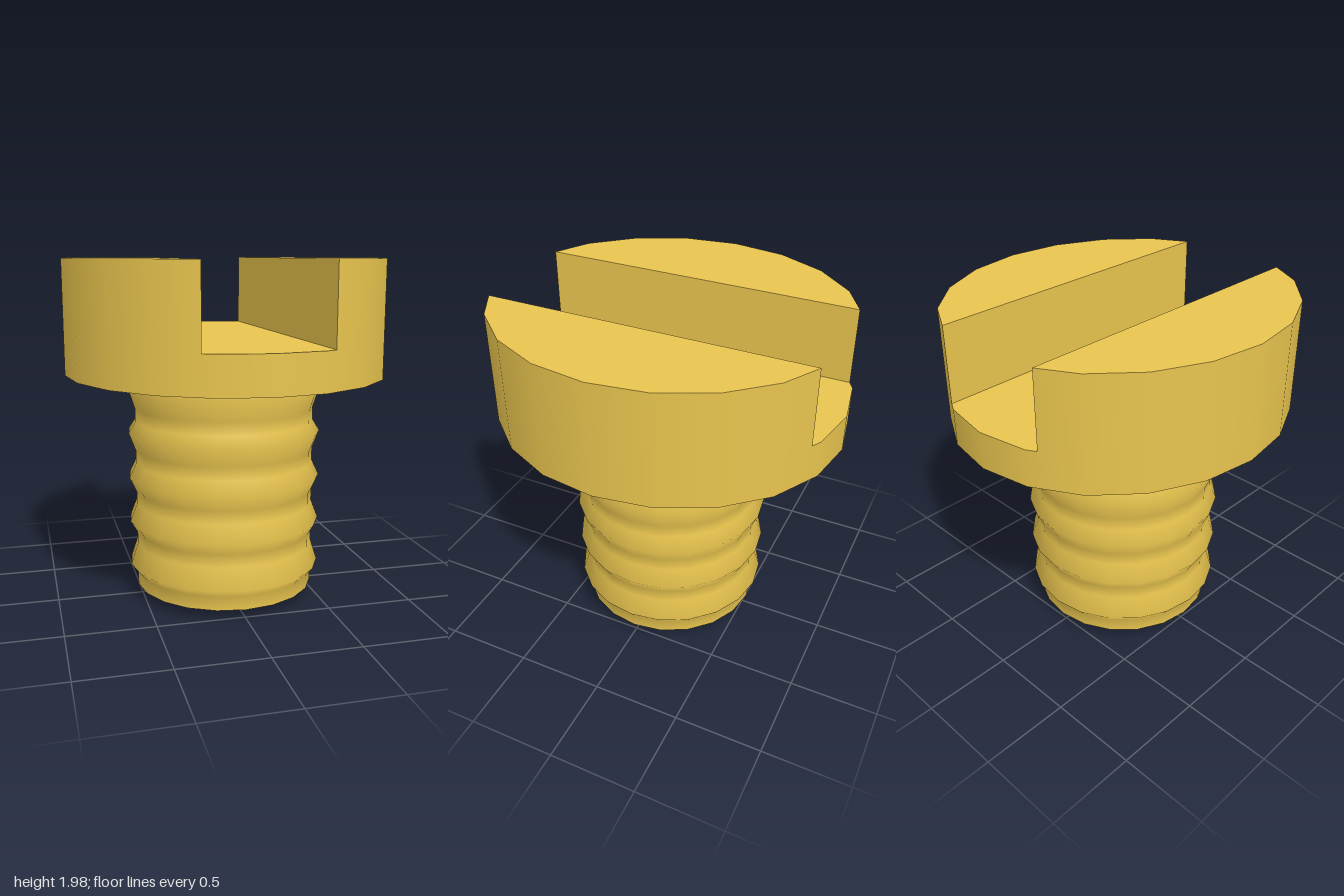
import * as THREE from 'three';

const SIDES = 20, RX = 0.915, RZ = 1;            // faceted oval head outline
const SLOT = 0.337, HEAD_BOTTOM = 1.33, SLOT_FLOOR = 1.54, HEAD_TOP = 1.975;

// Half depth of the faceted outline at a given x
function halfDepth(x, xs) {
  for (let i = 0; i + 1 < xs.length; i++) {
    const [a, b] = [xs[i], xs[i + 1]];
    if (x >= a.x - 1e-9 && x <= b.x + 1e-9) return THREE.MathUtils.mapLinear(x, a.x, b.x, a.z, b.z);
  }
  return 0;
}

// Slotted head, built as strips across x whose height drops inside the slot
function slottedHead() {
  const pos = [], nor = [];
  const quad = (corners, normals) => {
    const v = corners.map((c) => new THREE.Vector3(...c));
    const face = v[2].clone().sub(v[0]).cross(v[3].clone().sub(v[1]));
    const order = face.dot(normals[0]) > 0 ? [0, 1, 2, 0, 2, 3] : [0, 2, 1, 0, 3, 2];
    for (const i of order) {
      pos.push(...corners[i]);
      nor.push(...normals[i % normals.length].toArray());
    }
  };
  const outline = [];
  for (let i = 0; i <= SIDES / 2; i++) {
    const a = (i / SIDES) * Math.PI * 2;
    outline.push({ x: -RX * Math.cos(a), z: RZ * Math.sin(a) });
  }
  const cuts = [...outline.map((p) => p.x), -SLOT, SLOT].sort((a, b) => a - b);
  const up = new THREE.Vector3(0, 1, 0), down = new THREE.Vector3(0, -1, 0);

  for (let i = 0; i + 1 < cuts.length; i++) {
    const x0 = cuts[i], x1 = cuts[i + 1];
    const z0 = halfDepth(x0, outline), z1 = halfDepth(x1, outline);
    const h = Math.abs((x0 + x1) / 2) < SLOT ? SLOT_FLOOR : HEAD_TOP;
    // Top and underside
    for (const [y, n] of [[h, up], [HEAD_BOTTOM, down]]) {
      quad([[x0, y, -z0], [x0, y, z0], [x1, y, z1], [x1, y, -z1]], [n]);
    }
    // Smooth rim, front and back
    for (const s of [1, -1]) {
      const n0 = new THREE.Vector3(x0 / RX ** 2, 0, s * z0 / RZ ** 2).normalize();
      const n1 = new THREE.Vector3(x1 / RX ** 2, 0, s * z1 / RZ ** 2).normalize();
      quad([[x0, HEAD_BOTTOM, s * z0], [x1, HEAD_BOTTOM, s * z1], [x1, h, s * z1], [x0, h, s * z0]],
        [n0, n1, n1, n0]);
    }
  }
  // Slot walls
  for (const s of [1, -1]) {
    const x = s * SLOT, z = halfDepth(x, outline);
    quad([[x, SLOT_FLOOR, -z], [x, SLOT_FLOOR, z], [x, HEAD_TOP, z], [x, HEAD_TOP, -z]],
      [new THREE.Vector3(-s, 0, 0)]);
  }
  const g = new THREE.BufferGeometry();
  g.setAttribute('position', new THREE.Float32BufferAttribute(pos, 3));
  g.setAttribute('normal', new THREE.Float32BufferAttribute(nor, 3));
  return g;
}

// Shank profile: five ridges whose slopes lean progressively from bottom to top
function shankProfile() {
  const core = 0.525, crest = 0.565;
  const pts = [new THREE.Vector2(core, 0.055)];
  for (let i = 0; i < 5; i++) {
    const y = 0.183 + i * 0.266;
    pts.push(
      new THREE.Vector2(core, y - 0.047 - i * 0.0195),
      new THREE.Vector2(crest, y),
      new THREE.Vector2(core, y + 0.125 - i * 0.0205),
    );
  }
  pts.push(new THREE.Vector2(core, HEAD_BOTTOM));
  return pts;
}

export function createModel() {
  const group = new THREE.Group();
  group.name = 'slottedScrew';
  const brass = new THREE.MeshStandardMaterial({ color: 0xe8c44e });
  const add = (name, geometry) => {
    const mesh = new THREE.Mesh(geometry, brass);
    mesh.name = name;
    group.add(mesh);
  };

  add('head', slottedHead());
  add('threadedShank', new THREE.LatheGeometry(shankProfile(), SIDES));
  // Shallow conical point
  add('tip', new THREE.LatheGeometry([new THREE.Vector2(0, 0), new THREE.Vector2(0.525, 0.055)], SIDES));
  return group;
}
